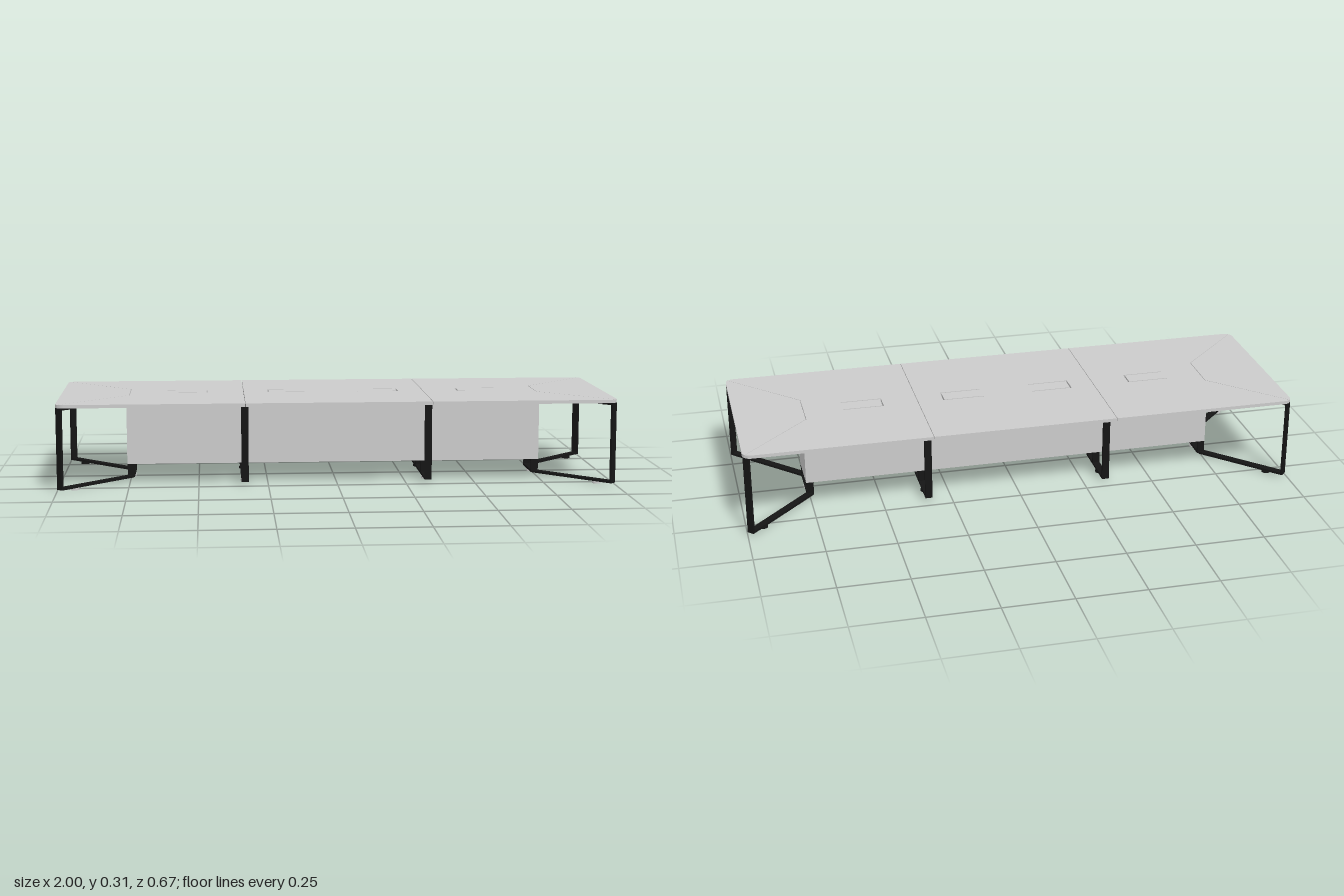
import * as THREE from 'three';

const grey = new THREE.MeshStandardMaterial({ color: 0xcccccc });
const black = new THREE.MeshStandardMaterial({ color: 0x151515 });
const W = 0.026, T = 0.008;            // flat bar width and thickness
const TOP = 0.312, UNDER = 0.3;        // table top faces
const FLOOR = 0.008;                   // underside of the frames

function box(parent, name, mat, w, h, d, x, y, z) {
  const m = new THREE.Mesh(new THREE.BoxGeometry(w, h, d), mat);
  m.position.set(x, y, z);
  m.name = name;
  parent.add(m);
  return m;
}

// Flat horizontal bar between two plan points [x, z], lower face at y
function bar(parent, name, a, b, y) {
  const dx = b[0] - a[0], dz = b[1] - a[1];
  const m = box(parent, name, black, Math.hypot(dx, dz), T, W, (a[0] + b[0]) / 2, y + T / 2, (a[1] + b[1]) / 2);
  m.rotation.y = -Math.atan2(dz, dx);
}

// Upright flat bar, its width turned by angle
function upright(parent, name, x, z, y0, y1, angle = 0) {
  box(parent, name, black, W, y1 - y0, T, x, (y0 + y1) / 2, z).rotation.y = angle;
}

function foot(parent, x, z) {
  const m = new THREE.Mesh(new THREE.CylinderGeometry(0.016, 0.016, FLOOR, 24), z > -0.05 ? grey : black);
  m.position.set(x, FLOOR / 2, z);
  m.name = 'foot';
  parent.add(m);
}

// Slab from a plan outline, with U-shaped slots around the cable flaps
function slab(parent, name, points, flaps) {
  const shape = new THREE.Shape(points.map(p => new THREE.Vector2(...p)));
  for (const [open, closed] of flaps) {
    const s = Math.sign(closed - open), g = 0.005, z0 = -0.036, z1 = 0.032;
    const inner = closed - s * g;
    shape.holes.push(new THREE.Path([
      [open, z0], [closed, z0], [closed, z1], [open, z1], [open, z1 - g],
      [inner, z1 - g], [inner, z0 + g], [open, z0 + g],
    ].map(p => new THREE.Vector2(...p))));
  }
  const geo = new THREE.ExtrudeGeometry(shape, { depth: TOP - UNDER, bevelEnabled: false });
  geo.rotateX(Math.PI / 2).translate(0, TOP, 0);
  const m = new THREE.Mesh(geo, grey);
  m.name = name;
  parent.add(m);
}

// Part of the rounded corner, angles in degrees from +x
function arc(from, to, sz) {
  const r = 0.03, pts = [];
  for (let i = 0; i <= 4; i++) {
    const a = THREE.MathUtils.degToRad(from + (to - from) * i / 4);
    pts.push([1 - r + r * Math.cos(a), sz * (0.333 - r + r * Math.sin(a))]);
  }
  return pts;
}

function createTop() {
  const g = new THREE.Group();
  g.name = 'tableTop';
  const gap = 0.001, X = 0.333, Z = 0.333;
  slab(g, 'centreTop', [[-X + gap, -Z], [X - gap, -Z], [X - gap, Z], [-X + gap, Z]],
    [[-0.095, -0.245], [0.09, 0.24]]);
  const side = [[X + gap, -Z], ...arc(90, 46, -1), [0.75 - gap, -0.085], [0.75 - gap, 0.085], ...arc(46, 90, 1), [X + gap, Z]];
  const end = [[0.75 + gap, -0.084], ...arc(44, 0, -1), ...arc(0, 44, 1), [0.75 + gap, 0.084]];
  for (const s of [-1, 1]) {
    const flip = pts => pts.map(([x, z]) => [s * x, z]);
    slab(g, 'sideTop', flip(side), [s > 0 ? [0.61, 0.46] : [-0.615, -0.465]]);
    slab(g, 'endTop', flip(end), []);
  }
  return g;
}

// Closed frame: outer legs, bars above and below, raised inner bridge
function createFrame(name, innerX, legX, legZ, feet) {
  const g = new THREE.Group();
  g.name = name;
  const inZ = 0.079;
  for (const s of [-1, 1]) {
    const leg = [legX, s * legZ], inner = [innerX, s * inZ];
    const dx = legX - innerX, dz = s * (legZ - inZ);
    upright(g, 'leg', legX, s * legZ, FLOOR, UNDER, Math.atan2(dx, dz));
    bar(g, 'bottomBar', inner, leg, FLOOR);
    bar(g, 'topBar', inner, leg, UNDER - T);
    upright(g, 'innerUpright', innerX, s * inZ, FLOOR, 0.057);
  }
  for (const y of [FLOOR, 0.049, UNDER - T])
    bar(g, 'crossBar', [innerX, -inZ - T / 2], [innerX, inZ + T / 2], y);
  for (const [x, z] of feet) foot(g, x, z);
  return g;
}

export function createModel() {
  const model = new THREE.Group();
  model.name = 'conferenceTable';
  model.add(createTop());

  for (const s of [-1, 1]) {
    model.add(createFrame('endFrame', s * 0.748, s * 0.987, 0.321,
      [[s * 0.94, 0.273], [s * 0.94, -0.273], [s * 0.748, 0]]));
    model.add(createFrame('middleFrame', s * 0.333, s * 0.333, 0.204,
      [[s * 0.333, 0.13], [s * 0.333, -0.13]]));
    // Rails under the top
    bar(model, 'rail', [-0.75, s * 0.085], [0.75, s * 0.085], UNDER - T);
  }

  // Cable trunk: long panels, end panels and dividers, open below
  const trunk = new THREE.Group();
  trunk.name = 'cableTrunk';
  for (const s of [-1, 1]) {
    box(trunk, 'sidePanel', grey, 1.524, 0.215, 0.006, 0, 0.1645, s * 0.079);
    box(trunk, 'endPanel', grey, 0.006, 0.234, 0.152, s * 0.759, 0.174, 0);
    box(trunk, 'divider', grey, 0.006, 0.234, 0.152, s * 0.333, 0.174, 0);
  }
  model.add(trunk);
  return model;
}
